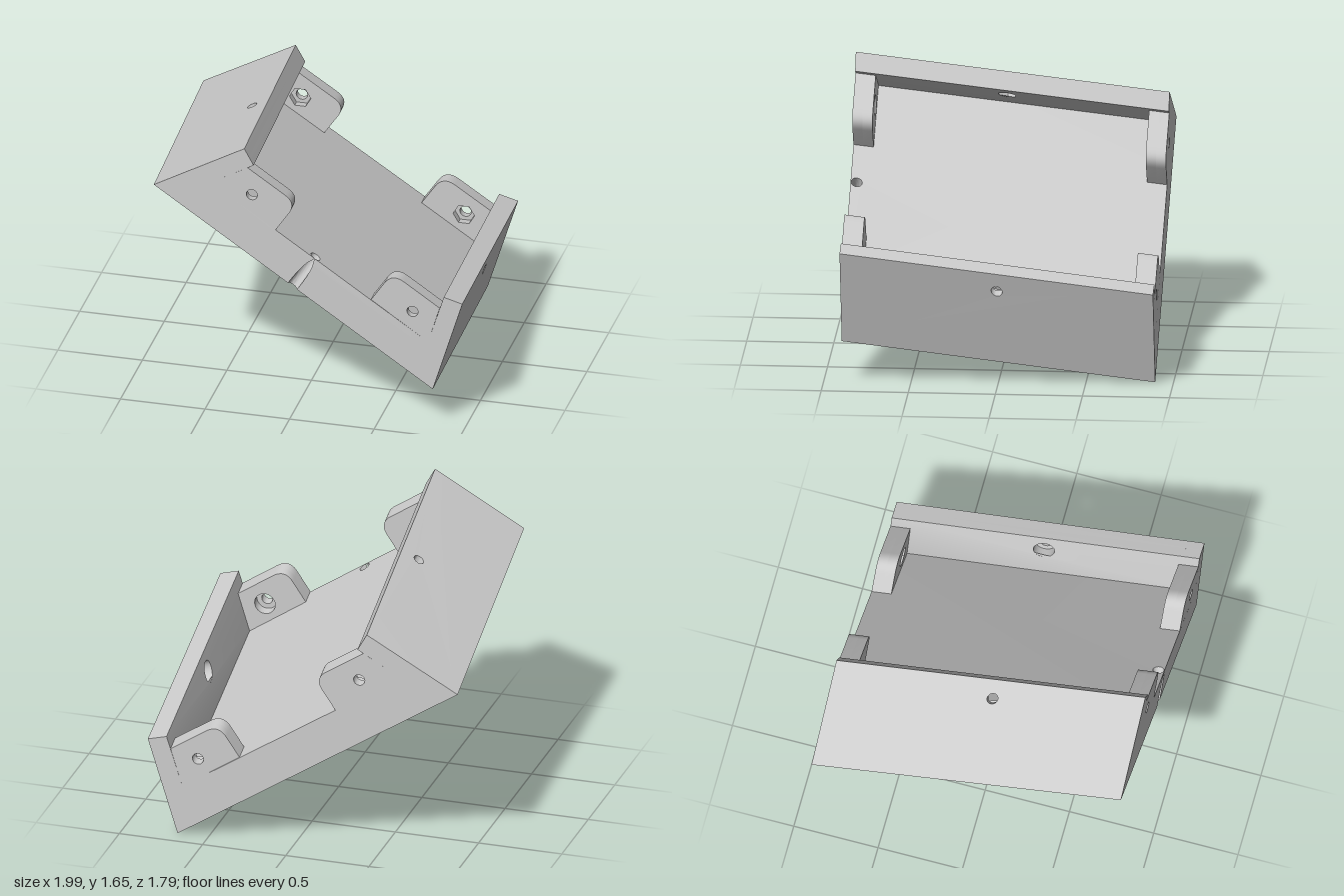
import * as THREE from 'three';
import { toCreasedNormals } from 'three/addons/utils/BufferGeometryUtils.js';

const Z = 0.895;            // half depth
const TAB = 0.78;           // inner face of the tabs
const V = (x, y) => new THREE.Vector2(x, y);

// Cross-section corners at the front end: outer shell, then inner shell
const outer = [V(-0.295, 1.655), V(-0.83, 1.355), V(0.82, 0.25), V(0.995, 0.82)];
const inner = [V(-0.24, 1.555), V(-0.494, 1.413), V(0.792, 0.551), V(0.885, 0.85)];

export function createModel() {
  const model = new THREE.Group();
  const material = new THREE.MeshStandardMaterial({ color: 0xcccccc });

  // Move every vertex by a rule, then slant the whole section toward the back
  function addPart(name, geometry, rule) {
    const p = geometry.attributes.position;
    for (let i = 0; i < p.count; i++) {
      const [x, y, z] = rule(p.getX(i), p.getY(i), p.getZ(i));
      const f = (Z - z) / (2 * Z);
      p.setXYZ(i, x + f * (-0.153 + 0.02 * x), y - f * 0.247, z);
    }
    const mesh = new THREE.Mesh(toCreasedNormals(geometry, 0.6), material);
    mesh.name = name;
    model.add(mesh);
  }

  // Round (many sides) or hexagonal (six sides) hole outline
  function ring(x, y, r, sides) {
    const pts = [];
    for (let i = 0; i < sides; i++) {
      const a = (i / sides) * Math.PI * 2;
      pts.push(V(x + r * Math.cos(a), y + r * Math.sin(a)));
    }
    return new THREE.Path(pts);
  }

  const extrude = (shape, depth, steps = 1) =>
    new THREE.ExtrudeGeometry(shape, { depth, steps, bevelEnabled: false, curveSegments: 10 });

  // Panel k between outer edge k..k+1 and the matching inner edge, mitred at its ends.
  // Shape space is (distance along the edge, -z); t runs from outer to inner face.
  function panel(name, k, t0, t1, makeShape, steps, special) {
    const a = outer[k], b = outer[k + 1], ia = inner[k], ib = inner[k + 1];
    const length = a.distanceTo(b);
    const dir = b.clone().sub(a).normalize();
    const n = V(-dir.y, dir.x);
    const thick = ia.clone().sub(a).dot(n);
    addPart(name, extrude(makeShape(length), 1, steps), (s, y, d) => {
      const t = t0 + (t1 - t0) * d;
      let z = -y, q;
      if (Math.abs(s) < 1e-5) q = a.clone().lerp(ia, t);
      else if (Math.abs(s - length) < 1e-5) q = b.clone().lerp(ib, t);
      else {
        if (special) [s, z] = special(s, z, t);
        q = a.clone().addScaledVector(dir, s).addScaledVector(n, t * thick);
      }
      return [q.x, q.y, z];
    });
  }

  const wallShape = (s, z, r, sides) => (length) => {
    const shape = new THREE.Shape([V(0, -Z), V(length, -Z), V(length, Z), V(0, Z)]);
    shape.holes.push(ring(s, -z, r, sides));
    return shape;
  };

  // Side walls: small bolt hole outside, wider recess inside
  panel('rightWallOuter', 0, 0, 0.5, wallShape(0.113, 0.035, 0.031, 24));
  panel('rightWallInner', 0, 0.5, 1, wallShape(0.113, 0.035, 0.055, 6));
  panel('leftWallOuter', 2, 0, 0.5, wallShape(0.48, 0, 0.032, 24));
  panel('leftWallInner', 2, 0.5, 1, wallShape(0.48, 0, 0.062, 24));

  // Floor with a slanted hole that breaks out through the front face
  const s0 = 0.987, zTop = 0.86, r = 0.032, gap = 0.15, N = 24;
  const floorShape = (length) => {
    const pts = [V(0, -Z), V(s0 - r * Math.sin(gap), -Z)];
    for (let i = 0; i <= N; i++) {
      const a = gap + (i / N) * (Math.PI * 2 - 2 * gap);
      pts.push(V(s0 - r * Math.sin(a), -zTop - r * Math.cos(a)));
    }
    pts.push(V(s0 + r * Math.sin(gap), -Z), V(length, -Z), V(length, Z), V(0, Z));
    return new THREE.Shape(pts);
  };
  panel('floor', 1, 0, 1, floorShape, 10, (s, z, t) => {
    const zc = 0.898 - 0.038 * t;
    const open = Math.acos(Math.min((Z - zc) / r, Math.cos(0.02)));
    if (z > Z - 1e-4) return [s0 + Math.sign(s - s0) * r * Math.sin(open), Z];
    let a = Math.atan2(s0 - s, z - zTop);
    if (a < 0) a += Math.PI * 2;
    a = open + ((a - gap) / (Math.PI - gap)) * (Math.PI - open);
    return [s0 - r * Math.sin(a), zc + r * Math.cos(a)];
  });

  // Tabs at both ends, each with one rounded corner and a recessed bolt hole
  function tabShape(onWall, corner, foot, root, hole, radius, sides) {
    const toward = (p, d) => corner.clone().add(p.clone().sub(corner).setLength(d));
    const c0 = toward(onWall, 0.085), c1 = toward(foot, 0.085);
    const shape = new THREE.Shape();
    shape.moveTo(onWall.x, onWall.y);
    shape.lineTo(c0.x, c0.y);
    shape.quadraticCurveTo(corner.x, corner.y, c1.x, c1.y);
    shape.lineTo(foot.x, foot.y);
    shape.lineTo(root.x, root.y);
    shape.closePath();
    shape.holes.push(ring(hole.x, hole.y, radius, sides));
    return shape;
  }
  const tabs = {
    Right: [V(-0.275, 1.535), V(0.015, 1.341), V(-0.11, 1.155), inner[1], V(-0.25, 1.365)],
    Left: [V(0.861, 0.777), V(0.58, 0.966), V(0.455, 0.78), inner[2], V(0.70, 0.735)],
  };
  const mid = (Z + TAB) / 2;
  for (const [side, pts] of Object.entries(tabs)) {
    for (const end of [1, -1]) {
      const name = (end > 0 ? 'front' : 'back') + side + 'Tab';
      const layer = (label, z0, z1, radius, sides) => {
        const low = Math.min(end * z0, end * z1);
        addPart(name + label, extrude(tabShape(...pts, radius, sides), z1 - z0),
          (x, y, z) => [x, y, z + low]);
      };
      layer('Outer', mid, Z, 0.033, 24);
      layer('Inner', TAB, mid, 0.062, end > 0 ? 24 : 6);
    }
  }
  return model;
}
